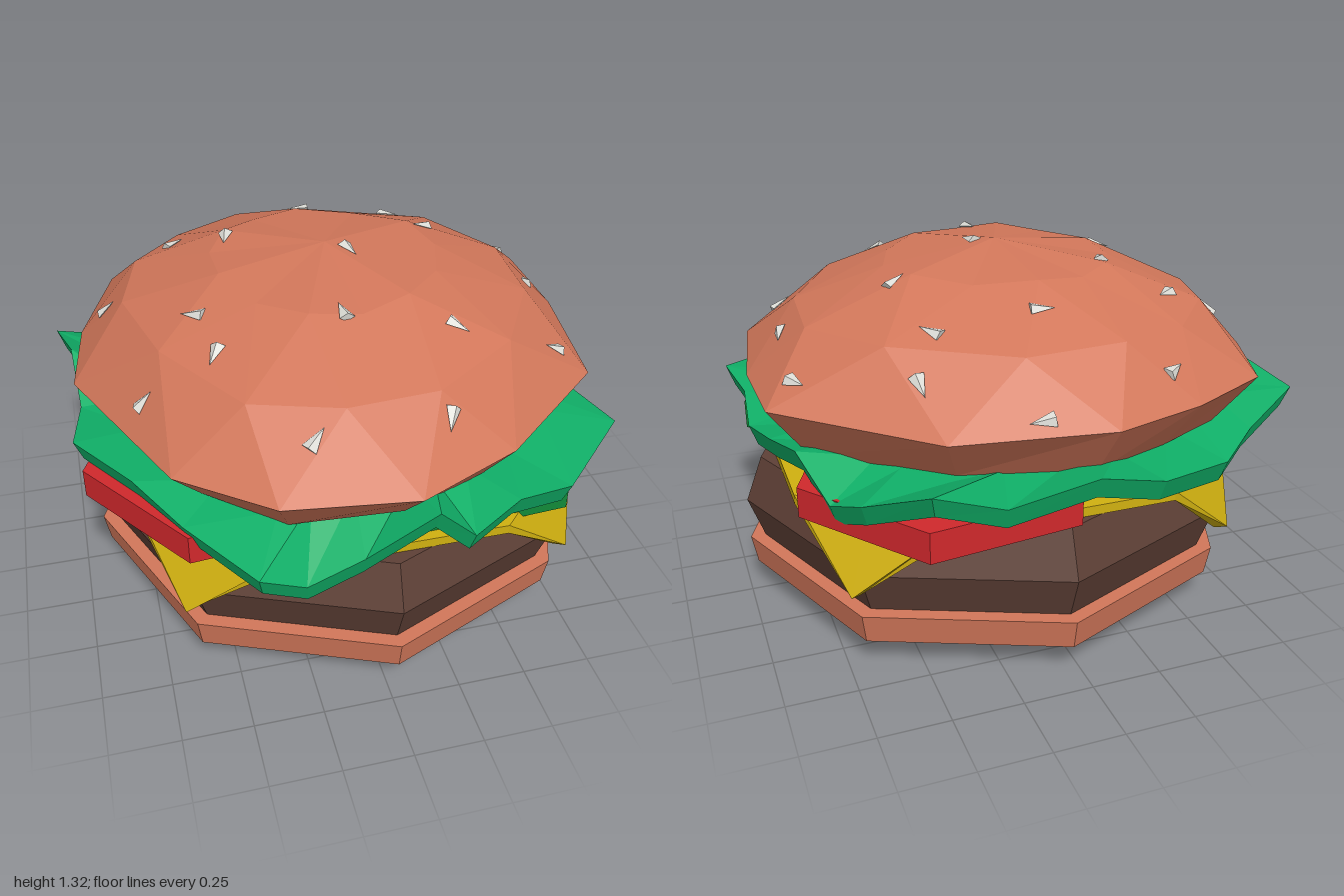
import * as THREE from 'three';

const mat = (name, color) => new THREE.MeshStandardMaterial({ name, color, flatShading: true });

// Skin closed rings of equal length, from the bottom centre up to the top centre.
function loft(rings) {
  const pos = [];
  for (let r = 0; r + 1 < rings.length; r++) {
    const a = rings[r], b = rings[r + 1], n = a.length;
    for (let i = 0; i < n; i++) {
      const j = (i + 1) % n;
      pos.push(...a[i], ...b[i], ...a[j], ...a[j], ...b[i], ...b[j]);
    }
  }
  const g = new THREE.BufferGeometry();
  g.setAttribute('position', new THREE.Float32BufferAttribute(pos, 3));
  g.computeVertexNormals();
  return g;
}

// Regular polygon ring, and a ring collapsed to one point
const ngon = (n, r, y, cx = 0, cz = 0, phase = 0) => Array.from({ length: n }, (_, i) => {
  const a = phase + (i / n) * Math.PI * 2;
  return [cx + r * Math.cos(a), y, cz + r * Math.sin(a)];
});
const dot = (n, x, y, z) => Array.from({ length: n }, () => [x, y, z]);

// Stack of [radius, height] polygons
const stack = (n, profile, cx, cz, phase) => loft(profile.map(([r, y]) => ngon(n, r, y, cx, cz, phase)));

export function createModel() {
  const group = new THREE.Group();
  const bread = mat('bread', 0xd2775a), meat = mat('meat', 0x5e4036);
  const cheeseMat = mat('cheese', 0xd0b010), leaf = mat('lettuce', 0x10b068);
  const pickleMat = mat('pickle', 0x128a38), tomatoMat = mat('tomato', 0xd0282c);
  const seedMat = mat('seed', 0xdcdcd6);
  const add = (name, geometry, material) => {
    const m = new THREE.Mesh(geometry, material);
    m.name = name;
    group.add(m);
    return m;
  };
  const CX = 0.035, CZ = 0.02;

  // Bottom bun and patty
  add('bottomBun', stack(8, [[0, 0], [0.71, 0], [0.93, 0.11], [0.95, 0.22], [0, 0.22]], CX, CZ, 0), bread);
  add('patty', stack(8, [[0, 0.2], [0.89, 0.21], [0.95, 0.38], [0.885, 0.55], [0, 0.55]], CX, CZ, 0), meat);

  // Cheese slice: a square whose four corners fold down
  const cheeseRing = (y, tip) => {
    const ring = [];
    for (let k = 0; k < 4; k++) {
      const c = Math.round(Math.cos(k * Math.PI / 2)), s = Math.round(Math.sin(k * Math.PI / 2));
      for (const [x, h, z] of [[0.83, y, 0.41], tip, [0.41, y, 0.83]]) {
        ring.push([CX + x * c - z * s, h, CZ + x * s + z * c]);
      }
    }
    return ring;
  };
  add('cheese', loft([
    dot(12, CX, 0.55, CZ), cheeseRing(0.55, [0.62, 0.55, 0.62]), cheeseRing(0.55, [0.675, 0.31, 0.675]),
    cheeseRing(0.585, [0.71, 0.325, 0.71]), cheeseRing(0.585, [0.62, 0.585, 0.62]), dot(12, CX, 0.585, CZ),
  ]), cheeseMat);

  // Pickle and tomato slices
  const slice = [[0, 0.56], [0.545, 0.56], [0.545, 0.67], [0, 0.67]];
  const rad = THREE.MathUtils.degToRad;
  add('pickle', stack(6, slice, 0.39, 0.325, rad(56.5)), pickleMat);
  add('backTomato', stack(6, slice, 0.33, -0.44, rad(-67)), tomatoMat);
  add('frontTomato', stack(6, slice, -0.417, 0.25, rad(175)), tomatoMat);

  // Lettuce leaf: wavy outer edge around a flat middle
  const edge = [
    [0.95, 0.67, 0.05], [0.93, 0.71, 0.3], [0.97, 0.73, 0.55], [0.68, 0.69, 0.82], [0.45, 0.74, 0.9],
    [0.28, 0.66, 0.95], [0.15, 0.78, 0.95], [-0.1, 0.64, 0.95], [-0.3, 0.58, 0.97], [-0.46, 0.67, 1],
    [-0.66, 0.7, 0.72], [-0.8, 0.75, 0.5], [-0.98, 0.75, 0.23], [-0.94, 0.71, -0.05], [-0.95, 0.82, -0.3],
    [-1, 0.78, -0.53], [-0.78, 0.68, -0.62], [-0.58, 0.66, -0.8], [-0.24, 0.73, -0.98], [0, 0.79, -1],
    [0.3, 0.72, -0.97], [0.55, 0.82, -1], [0.72, 0.72, -0.8], [0.79, 0.66, -0.65], [0.86, 0.78, -0.46],
    [0.91, 0.72, -0.2],
  ];
  const n = edge.length;
  const inner = y => edge.map(([x, , z]) => [x * 0.75, y, z * 0.75]);
  add('lettuce', loft([
    dot(n, 0, 0.66, 0), inner(0.66), edge.map(([x, y, z]) => [x * 0.97, y - 0.08, z * 0.97]),
    edge, inner(0.73), dot(n, 0, 0.73, 0),
  ]), leaf);

  // Top bun: uneven rim, staggered rings up to the crown
  const rim = [
    [0.95, -0.05], [0.88, 0.46], [0.44, 0.84], [0.07, 1], [-0.38, 0.95], [-0.68, 0.7],
    [-0.95, 0.05], [-0.9, -0.3], [-0.75, -0.68], [-0.42, -0.86], [-0.08, -0.96], [0.45, -0.84], [0.94, -0.43],
  ];
  const rimY = [0.91, 0.9, 0.9, 0.89, 0.9, 0.89, 0.88, 0.89, 0.91, 0.92, 0.92, 0.9, 0.92];
  const next = ring => ring.map(([x, z], i) => {
    const [x2, z2] = ring[(i + 1) % ring.length];
    return [(x + x2) / 2, (z + z2) / 2];
  });
  const at = (ring, s, y) => ring.map(([x, z], i) => [x * s, y + (i % 2) * 0.015, z * s]);
  const mid = next(rim), m = rim.length;
  const topBun = add('topBun', loft([
    dot(m, 0, 0.72, 0), at(rim, 0.85, 0.715), rim.map(([x, z], i) => [x, rimY[i], z]),
    at(mid, 0.8, 1.11), at(next(mid), 0.46, 1.25), dot(m, 0, 1.315, 0),
  ]), bread);

  // Sesame seeds, laid flat on the crust
  const spots = [
    [0.15, -0.87], [-0.36, -0.77], [0.48, -0.66], [0.4, -0.5], [0.02, -0.54], [-0.5, -0.42], [-0.33, -0.22],
    [0.83, -0.4], [-0.79, -0.22], [0.43, -0.19], [0.82, -0.03], [0.08, 0.06], [-0.52, 0.2], [-0.72, 0.39],
    [-0.48, 0.42], [-0.04, 0.41], [0.35, 0.48], [0.74, 0.43], [-0.23, 0.82], [0.22, 0.8],
  ];
  const seeds = new THREE.Group();
  seeds.name = 'sesameSeeds';
  group.add(seeds);
  const seedGeo = new THREE.ConeGeometry(0.028, 0.085, 4);
  seedGeo.scale(1, 1, 0.6);
  const ray = new THREE.Raycaster();
  spots.forEach(([x, z], i) => {
    ray.set(new THREE.Vector3(x, 2, z), new THREE.Vector3(0, -1, 0));
    const hit = ray.intersectObject(topBun)[0];
    if (!hit) return;
    const up = hit.face.normal.clone();
    const a = i * 2.4;
    const along = new THREE.Vector3(Math.cos(a), 0, Math.sin(a)).projectOnPlane(up).normalize();
    const seed = new THREE.Mesh(seedGeo, seedMat);
    seed.name = 'seed';
    seed.quaternion.setFromRotationMatrix(
      new THREE.Matrix4().makeBasis(along.clone().cross(up), along, up));
    seed.position.copy(hit.point).addScaledVector(up, 0.004);
    seeds.add(seed);
  });
  return group;
}
